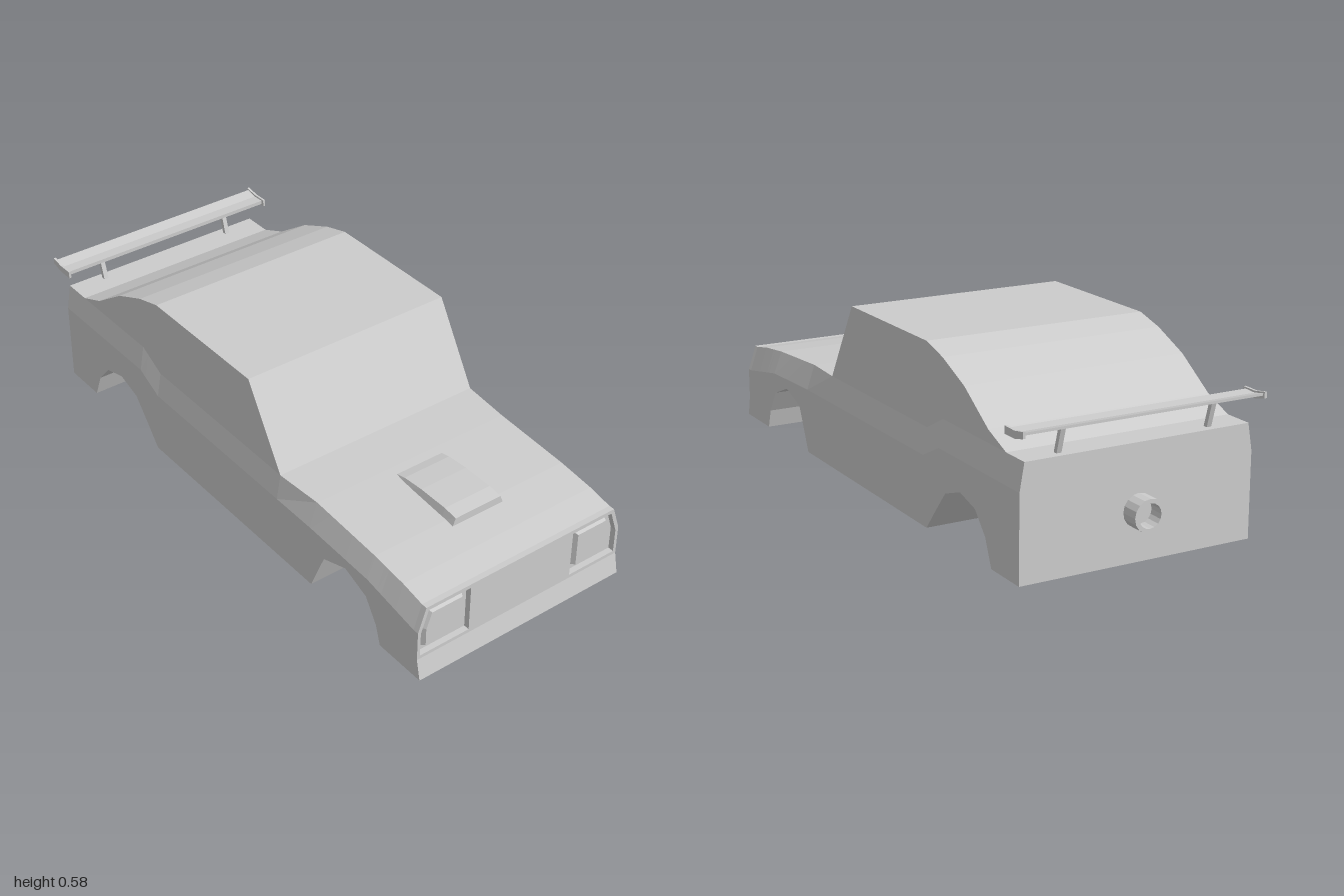
import * as THREE from 'three';

const material = new THREE.MeshStandardMaterial({ color: 0xcccccc, flatShading: true });

function add(group, name, geometry) {
  const mesh = new THREE.Mesh(geometry, material);
  mesh.name = name;
  group.add(mesh);
  return mesh;
}

// Skin a list of rings ({z, points}) ordered from front to back, with both ends closed.
// Points run counter-clockwise as seen from the front.
function loft(rings) {
  const pos = [];
  const v = rings.map(r => r.points.map(([x, y]) => new THREE.Vector3(x, y, r.z)));
  const tri = (a, b, c) => {
    if (new THREE.Triangle(a, b, c).getArea() > 1e-7) {
      for (const p of [a, b, c]) pos.push(p.x, p.y, p.z);
    }
  };
  const n = v[0].length;
  for (let i = 0; i < v.length - 1; i++) {
    for (let j = 0; j < n; j++) {
      const k = (j + 1) % n;
      tri(v[i + 1][j], v[i + 1][k], v[i][j]);
      tri(v[i + 1][k], v[i][k], v[i][j]);
    }
  }
  const last = v[v.length - 1];
  for (let j = 1; j < n - 1; j++) {
    tri(v[0][0], v[0][j], v[0][j + 1]);
    tri(last[0], last[j + 1], last[j]);
  }
  const g = new THREE.BufferGeometry();
  g.setAttribute('position', new THREE.Float32BufferAttribute(pos, 3));
  g.computeVertexNormals();
  return g;
}

// Linear lookup in a [z, value] table sorted from front to back
function at(table, z) {
  if (z >= table[0][0]) return table[0][1];
  for (let i = 1; i < table.length; i++) {
    const [z0, a] = table[i - 1], [z1, b] = table[i];
    if (z >= z1) return a + (b - a) * (z0 - z) / (z0 - z1);
  }
  return table[table.length - 1][1];
}

const flip = pts => pts.map(([x, y]) => [-x, y]).reverse();
const toShape = pts => new THREE.Shape(pts.map(p => new THREE.Vector2(...p)));

// Extrude a (z, y) outline along x, centred on x = 0
function acrossX(outline, width) {
  const g = new THREE.ExtrudeGeometry(toShape(outline.map(([z, y]) => [-z, y])),
    { depth: width, bevelEnabled: false });
  return g.translate(0, 0, -width / 2).rotateY(Math.PI / 2);
}

const NOSE = 0.965, TAIL = -0.94, HALF = 0.395;

// Body lines along the length: top outline, upper and lower belt, shoulder width, wheel arches
const top = [[NOSE, 0.256], [0.88, 0.273], [0.75, 0.288], [0.47, 0.305], [0.3, 0.308],
  [0.14, 0.577], [-0.37, 0.577], [-0.47, 0.55], [-0.6, 0.495], [-0.74, 0.402], [-0.84, 0.362], [TAIL, 0.362]];
const belt = [[0.3, 0.308], [-0.37, 0.31], [-0.47, 0.362], [TAIL, 0.362]];
const lowBelt = [[NOSE, 0.173], [0.75, 0.212], [0.47, 0.222], [-0.37, 0.226], [-0.47, 0.275], [TAIL, 0.275]];
const shoulder = [[NOSE, 0.367], [0.47, 0.367], [0.3, 0.38], [TAIL, 0.38]];
const arches = [[0.815, 0], [0.795, 0.065], [0.745, 0.143], [0.645, 0.182], [0.54, 0.146], [0.475, 0],
  [-0.39, 0], [-0.44, 0.062], [-0.51, 0.145], [-0.6, 0.176], [-0.69, 0.152], [-0.75, 0.085], [-0.785, 0]];

function bodySection(z) {
  const w = at(shoulder, z), a = at(arches, z), roof = at(top, z);
  const right = [[0.18, 0], [0.18, a], [HALF, a], [HALF, at(lowBelt, z)],
    [w, z > 0.3 ? roof : at(belt, z)], [w, roof]];
  return { z, points: [...right, ...flip(right)] };
}

export function createModel() {
  const car = new THREE.Group();
  car.name = 'car';

  // Body shell with wheel wells
  const stations = [...new Set([top, belt, lowBelt, shoulder, arches].flat().map(p => p[0]))];
  stations.sort((a, b) => b - a);
  add(car, 'body', loft(stations.map(bodySection)));

  // Nose panel with headlight openings
  const socket = [[0.2, 0.082], [0.384, 0.082], [0.384, 0.165], [0.358, 0.243], [0.2, 0.243]];
  const lamp = [[0.22, 0.1], [0.368, 0.1], [0.368, 0.168], [0.346, 0.228], [0.22, 0.228]];
  const side = [[HALF, 0], [HALF, 0.173], [0.367, 0.256]];
  const nose = toShape([...side, ...flip(side)]);
  for (const s of [socket, flip(socket)]) nose.holes.push(new THREE.Path(toShape(s).getPoints()));
  add(car, 'nosePanel', new THREE.ExtrudeGeometry(nose, { depth: 0.02, bevelEnabled: false }))
    .position.z = NOSE;

  // Headlights
  const lens = lamp.map(([x, y]) => [0.294 + (x - 0.294) * 0.9, 0.164 + (y - 0.164) * 0.9]);
  for (const [name, m] of [['leftHeadlight', p => p], ['rightHeadlight', flip]]) {
    add(car, name, loft([{ z: 0.981, points: m(lens) }, { z: NOSE, points: m(lamp) }]));
  }

  // Sloping lip under the nose
  add(car, 'frontLip', acrossX([[0.98, 0], [1, 0], [0.985, 0.07], [0.98, 0.07]], HALF * 2));

  // Bonnet scoop
  const scoop = [[0.78, 0.31], [0.73, 0.317], [0.62, 0.318], [0.54, 0.312], [0.505, 0.304]];
  add(car, 'bonnetScoop', loft(scoop.map(([z, y]) => {
    const half = [[0.1, 0.28], [0.088, y]];
    return { z, points: [...half, ...flip(half)] };
  })));

  // Rear wing with end plates and struts
  const wing = new THREE.Group();
  wing.name = 'rearWing';
  car.add(wing);
  add(wing, 'wingBlade', acrossX(
    [[-0.892, 0.438], [-0.892, 0.451], [-0.935, 0.449], [-0.975, 0.458], [-0.975, 0.45], [-0.935, 0.438]], 0.806));
  const plate = [[-0.882, 0.432], [-0.882, 0.456], [-0.935, 0.455], [-0.982, 0.463], [-0.982, 0.443], [-0.94, 0.432]];
  const strut = [[-0.9, 0.355], [-0.925, 0.442], [-0.94, 0.442], [-0.915, 0.355]];
  for (const s of [1, -1]) {
    add(wing, 'wingEndPlate', acrossX(plate, 0.008)).position.x = s * 0.406;
    add(wing, 'wingStrut', acrossX(strut, 0.016)).position.x = s * 0.255;
  }

  // Exhaust pipe
  const pipe = [[0.052, 0], [0.052, 0.065], [0.038, 0.065], [0.038, 0.015], [0, 0.015]];
  const exhaust = add(car, 'exhaustPipe',
    new THREE.LatheGeometry(pipe.map(p => new THREE.Vector2(...p)), 16));
  exhaust.rotation.x = -Math.PI / 2;
  exhaust.position.set(0, 0.158, -0.935);

  return car;
}
